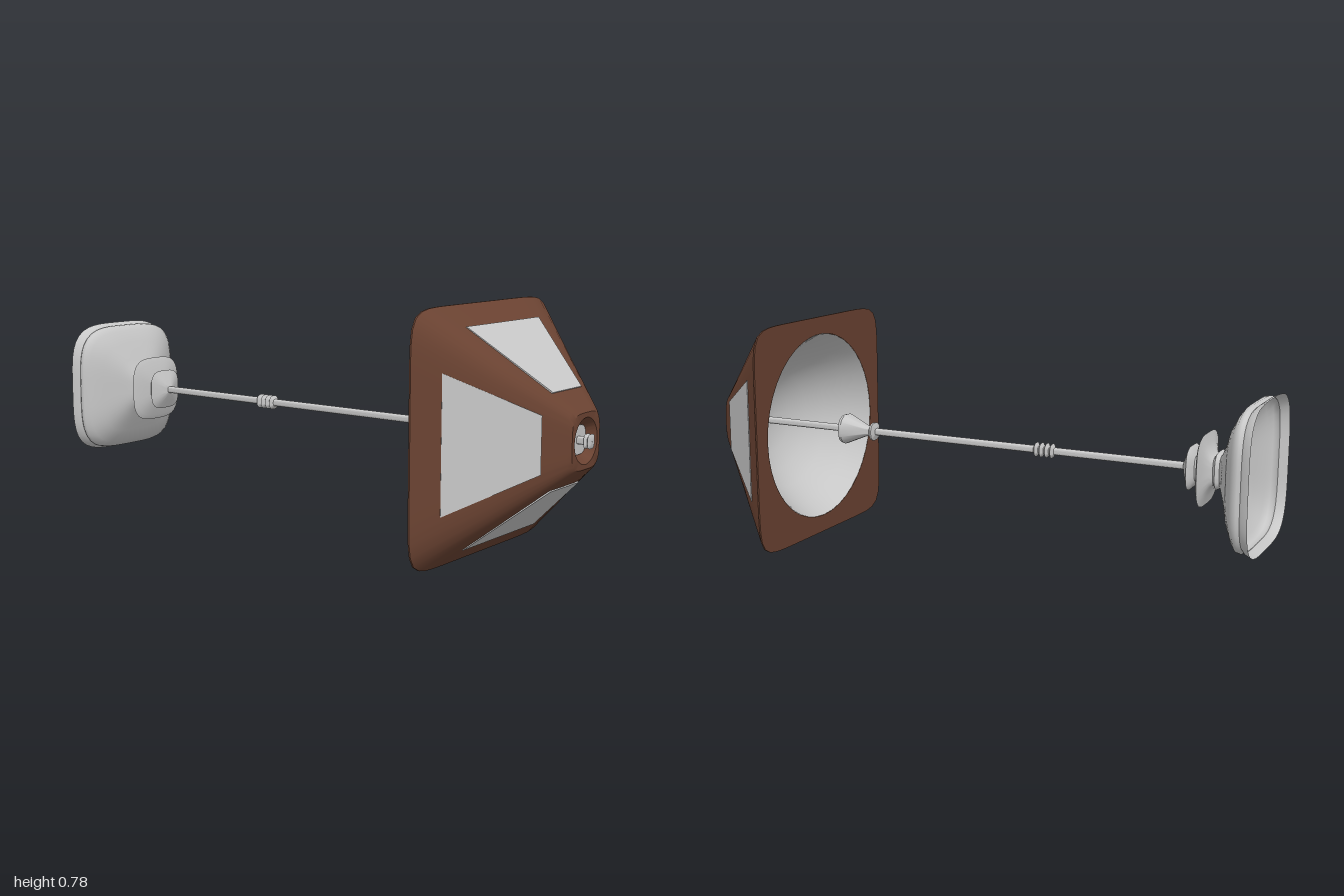
import * as THREE from 'three';
import { toCreasedNormals } from 'three/addons/utils/BufferGeometryUtils.js';

// Skin through superellipse sections; each row is [z, half width, squareness]
// (squareness 2 is a circle, higher is closer to a square)
function loft(rows, segments = 64, crease = 0.6) {
  const pos = [], idx = [];
  for (const [z, half, n] of rows) {
    for (let i = 0; i < segments; i++) {
      const a = (i / segments) * Math.PI * 2;
      const c = Math.cos(a), s = Math.sin(a);
      const r = half * Math.pow(Math.abs(c) ** n + Math.abs(s) ** n, -1 / n);
      pos.push(r * c, r * s, z);
    }
  }
  for (let j = 0; j < rows.length - 1; j++) {
    for (let i = 0; i < segments; i++) {
      const k = (i + 1) % segments;
      const a = j * segments + i, b = j * segments + k;
      const c = a + segments, d = b + segments;
      idx.push(a, b, d, a, d, c);
    }
  }
  const geo = new THREE.BufferGeometry();
  geo.setAttribute('position', new THREE.Float32BufferAttribute(pos, 3));
  geo.setIndex(idx);
  return toCreasedNormals(geo, crease);
}

export function createModel() {
  const model = new THREE.Group();
  model.name = 'lamp';
  const lamp = new THREE.Group();
  lamp.name = 'lampAxis';
  lamp.position.y = 0.393;
  model.add(lamp);

  const brown = new THREE.MeshStandardMaterial({ color: 0x6b4332, side: THREE.DoubleSide });
  brown.name = 'brown';
  const grey = new THREE.MeshStandardMaterial({ color: 0xc8c8c8, side: THREE.DoubleSide });
  grey.name = 'light grey';

  const add = (name, geo, mat, parent = lamp) => {
    const mesh = new THREE.Mesh(geo, mat);
    mesh.name = name;
    parent.add(mesh);
    return mesh;
  };

  // Shade: flat back rim, sloping sides, small front cap and tapered hole
  add('shade', loft([
    [0.62, 0.33, 2], [0.62, 0.391, 10], [0.625, 0.391, 10],
    [0.8, 0.241, 8], [0.97, 0.095, 5], [0.98, 0.085, 4],
    [0.98, 0.07, 2], [0.95, 0.044, 3],
  ], 96), brown);

  // Pale dished lining inside the shade
  add('shadeLining', loft([
    [0.87, 0.001, 2], [0.865, 0.06, 2], [0.845, 0.12, 2], [0.81, 0.18, 2],
    [0.76, 0.235, 2], [0.69, 0.287, 2], [0.62, 0.33, 2],
  ], 40, 1), grey);

  // Four thin trapezoid panes
  const slant = Math.hypot(0.187, 0.22);
  const trapezoid = new THREE.Shape([
    new THREE.Vector2(-0.087, 0), new THREE.Vector2(0.087, 0),
    new THREE.Vector2(0.21, slant), new THREE.Vector2(-0.21, slant),
  ]);
  const paneGeo = new THREE.ExtrudeGeometry(trapezoid, { depth: 0.008, bevelEnabled: false });
  paneGeo.translate(0, 0, -0.008);
  paneGeo.rotateX(-Math.atan2(0.22, 0.187));
  paneGeo.translate(0, 0.147, 0.915);
  for (let i = 0; i < 4; i++) {
    add('pane' + (i + 1), paneGeo, grey).rotation.z = (i * Math.PI) / 2;
  }

  // Knob in the front hole
  add('finial', loft([
    [0.945, 0.046, 3.5], [0.955, 0.044, 3.5], [0.955, 0.012, 3],
    [0.978, 0.012, 3], [0.983, 0.022, 3.5], [0.99, 0.014, 3],
    [0.996, 0.022, 3.5], [1.0, 0.014, 3], [1.0, 0.0005, 3],
  ], 40), grey);

  // Long pole
  add('pole', loft([[-0.76, 0.012, 2.5], [0.96, 0.012, 2.5]], 20), grey);

  // Rings around the middle of the pole
  for (let i = 0; i < 4; i++) {
    const z = -0.28 + i * 0.019;
    add('poleRing' + (i + 1), loft([
      [z - 0.008, 0.012, 2.5], [z, 0.024, 2.5], [z + 0.008, 0.012, 2.5],
    ], 24), grey);
  }

  // Flared socket below the shade
  add('socket', loft([
    [0.392, 0.012, 2.5], [0.398, 0.031, 2.5], [0.405, 0.031, 2.5],
    [0.415, 0.017, 2.5], [0.43, 0.019, 2.5], [0.51, 0.052, 2.5],
    [0.52, 0.05, 2.5], [0.523, 0.012, 2.5],
  ], 32), grey);

  // Hollow rounded-square foot
  add('foot', loft([
    [-1.0, 0.237, 4], [-0.98, 0.229, 4], [-0.972, 0.222, 4], [-0.962, 0.228, 4],
    [-0.95, 0.226, 4], [-0.935, 0.208, 4], [-0.91, 0.165, 4], [-0.885, 0.105, 3.8],
    [-0.865, 0.066, 3.5], [-0.858, 0.054, 3.5],
  ], 64, 0.9), grey);

  // Stepped collar between foot and pole
  add('collar', loft([
    [-0.858, 0.054, 3.5], [-0.845, 0.06, 3.5], [-0.835, 0.046, 3.5], [-0.825, 0.054, 3.5],
    [-0.812, 0.085, 3.5], [-0.805, 0.115, 3.5], [-0.798, 0.1, 3.5], [-0.785, 0.045, 3.5],
    [-0.775, 0.042, 3.5], [-0.765, 0.062, 3.5], [-0.757, 0.07, 3.5], [-0.745, 0.045, 3.5],
    [-0.735, 0.024, 3], [-0.73, 0.012, 2.5],
  ], 48), grey);

  return model;
}
